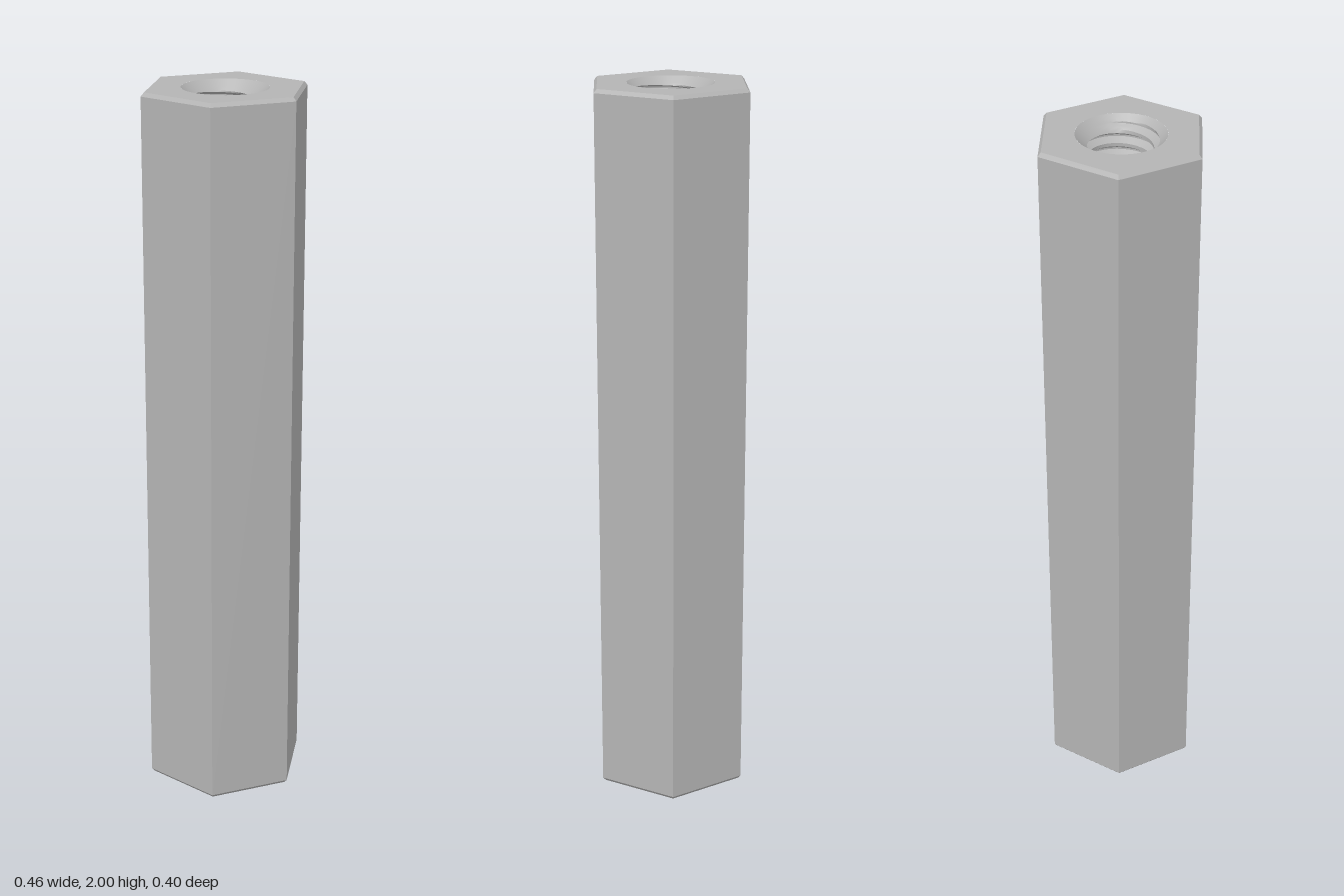
import * as THREE from 'three';
import { toCreasedNormals } from 'three/addons/utils/BufferGeometryUtils.js';

const HEIGHT = 2, RADIUS = 0.231, INSET = 0.009, CHAMFER = 0.01;
const MOUTH = 0.116, ROOT = 0.1, CREST = 0.082, PITCH = 0.036;

// Thread radius across one pitch: flat root, flank, flat crest, flank
const PROFILE = [[0, 0], [0.125, 0], [0.23, 0.34], [0.33, 0.66], [0.4375, 1], [0.6875, 1], [0.79, 0.67], [0.9, 0.32]];

// Through hole: right-handed helical thread, opened by a countersink at both ends
function threadGeometry(segments = 40) {
  const point = (i, row) => {
    const turn = Math.floor(row / PROFILE.length) - 1;
    const [stop, depth] = PROFILE[row % PROFILE.length];
    const y = Math.min(HEIGHT, Math.max(0, PITCH * (turn + stop + i / segments)));
    const cone = MOUTH - Math.min(y, HEIGHT - y);
    const r = Math.max(ROOT + (CREST - ROOT) * depth, cone);
    const a = (i % segments) / segments * Math.PI * 2;
    return [r * Math.cos(a), y, -r * Math.sin(a)];
  };
  const positions = [];
  const triangle = (a, b, c) => {
    if (a[1] === b[1] && b[1] === c[1]) return; // fully outside the body
    positions.push(...a, ...b, ...c);
  };
  const rows = (Math.ceil(HEIGHT / PITCH) + 1) * PROFILE.length;
  for (let row = 0; row < rows; row++) {
    for (let i = 0; i < segments; i++) {
      const a = point(i, row), b = point(i + 1, row);
      const c = point(i, row + 1), d = point(i + 1, row + 1);
      triangle(a, c, b);
      triangle(b, c, d);
    }
  }
  const geometry = new THREE.BufferGeometry();
  geometry.setAttribute('position', new THREE.Float32BufferAttribute(positions, 3));
  return toCreasedNormals(geometry, 0.5);
}

// Open six-sided band with corners on the x axis
function hexBand(top, bottom, height) {
  return toCreasedNormals(new THREE.CylinderGeometry(top, bottom, height, 6, 1, true, Math.PI / 2), 0.5);
}

// Flat end face with a round hole
function endGeometry() {
  const shape = new THREE.Shape();
  for (let i = 0; i < 6; i++) {
    const a = i * Math.PI / 3, r = RADIUS - INSET;
    shape[i ? 'lineTo' : 'moveTo'](r * Math.cos(a), r * Math.sin(a));
  }
  shape.closePath();
  shape.holes.push(new THREE.Path().absarc(0, 0, MOUTH, 0, Math.PI * 2, true));
  return new THREE.ShapeGeometry(shape, 40);
}

export function createModel() {
  const group = new THREE.Group();
  group.name = 'hexStandoff';
  const metal = new THREE.MeshStandardMaterial({ color: 0xb4b4b4 });
  metal.name = 'grey metal';

  const add = (name, geometry, y) => {
    const mesh = new THREE.Mesh(geometry, metal);
    mesh.name = name;
    mesh.position.y = y;
    group.add(mesh);
    return mesh;
  };

  // Hexagonal body
  add('hexSides', hexBand(RADIUS, RADIUS, HEIGHT - 2 * CHAMFER), HEIGHT / 2);

  // Chamfered rims
  add('topChamfer', hexBand(RADIUS - INSET, RADIUS, CHAMFER), HEIGHT - CHAMFER / 2);
  add('bottomChamfer', hexBand(RADIUS, RADIUS - INSET, CHAMFER), CHAMFER / 2);

  // End faces
  add('topFace', endGeometry(), HEIGHT).rotation.x = -Math.PI / 2;
  add('bottomFace', endGeometry(), 0).rotation.x = Math.PI / 2;

  // Threaded hole
  add('threadedHole', threadGeometry(), 0);
  return group;
}
